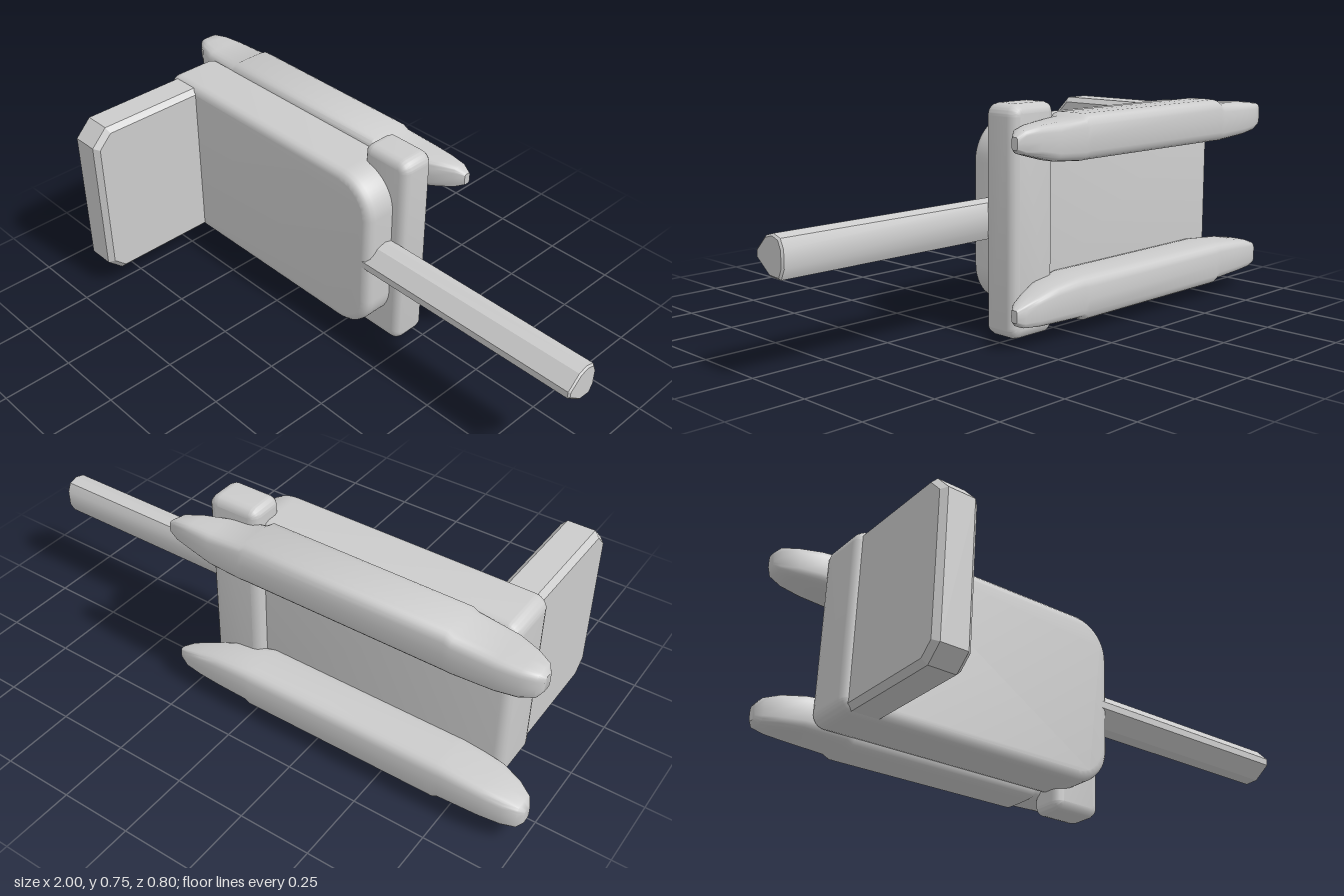
import * as THREE from 'three';
import { toCreasedNormals } from 'three/addons/utils/BufferGeometryUtils.js';

const material = new THREE.MeshStandardMaterial({ color: 0xcccccc });

function addPart(group, name, geometry, crease = 0.6) {
  const mesh = new THREE.Mesh(toCreasedNormals(geometry, crease), material);
  mesh.name = name;
  group.add(mesh);
  return mesh;
}

// Rectangle with its own corner radius on the low and high side of the first axis
function roundedRect(x0, x1, y0, y1, rLow, rHigh) {
  const s = new THREE.Shape();
  s.moveTo(x0 + rLow, y0);
  s.lineTo(x1 - rHigh, y0);
  s.absarc(x1 - rHigh, y0 + rHigh, rHigh, -Math.PI / 2, 0);
  s.lineTo(x1, y1 - rHigh);
  s.absarc(x1 - rHigh, y1 - rHigh, rHigh, 0, Math.PI / 2);
  s.lineTo(x0 + rLow, y1);
  s.absarc(x0 + rLow, y1 - rLow, rLow, Math.PI / 2, Math.PI);
  s.lineTo(x0, y0 + rLow);
  s.absarc(x0 + rLow, y0 + rLow, rLow, Math.PI, Math.PI * 1.5);
  return s;
}

// Extrusion from a to b with a bevel that stays inside the outline
function slab(shape, a, b, bevel, segments = 3) {
  const g = new THREE.ExtrudeGeometry(shape, {
    depth: b - a - 2 * bevel, bevelEnabled: bevel > 0, bevelSize: bevel,
    bevelThickness: bevel, bevelOffset: -bevel, bevelSegments: segments, curveSegments: 8,
  });
  return g.translate(0, 0, a + bevel);
}

// Loft along x through rounded sections: [x, yLow, yHigh, zBack, zFront]
function loft(sections, sides = 24, power = 0.45) {
  const pos = [], index = [];
  const soft = (v) => Math.sign(v) * Math.pow(Math.abs(v), power);
  for (const [x, y0, y1, z0, z1] of sections) {
    for (let i = 0; i < sides; i++) {
      const a = (i / sides) * Math.PI * 2;
      pos.push(x, (y0 + y1) / 2 + soft(Math.cos(a)) * (y1 - y0) / 2,
        (z0 + z1) / 2 + soft(Math.sin(a)) * (z1 - z0) / 2);
    }
  }
  for (let s = 0; s < sections.length - 1; s++) {
    for (let i = 0; i < sides; i++) {
      const a = s * sides + i, b = s * sides + (i + 1) % sides;
      index.push(a, b, a + sides, b, b + sides, a + sides);
    }
  }
  // End caps
  const last = (sections.length - 1) * sides;
  for (let i = 1; i < sides - 1; i++) {
    index.push(0, i + 1, i, last, last + i, last + i + 1);
  }
  const g = new THREE.BufferGeometry();
  g.setAttribute('position', new THREE.Float32BufferAttribute(pos, 3));
  g.setIndex(index);
  return g;
}

export function createModel() {
  const group = new THREE.Group();

  // Deck plate, with wide round corners at the handle end
  addPart(group, 'deck', slab(roundedRect(-0.86, 0.17, 0.07, 0.69, 0.045, 0.14), -0.24, -0.04, 0.03));

  // Upright end panel with clipped corners
  const panel = new THREE.Shape([
    [0.1, 0.075], [0.1, 0.68], [-0.34, 0.68], [-0.4, 0.62], [-0.4, 0.125], [-0.345, 0.075],
  ].map(([u, v]) => new THREE.Vector2(u, v)));
  addPart(group, 'endPanel', slab(panel, -0.84, -0.71, 0.018, 1).rotateY(Math.PI / 2), 0.4);

  // Crossbar standing behind the handle end
  addPart(group, 'crossbar',
    slab(roundedRect(0.03, 0.22, 0, 0.75, 0.03, 0.04), -0.28, -0.15, 0.03));

  // Faceted handle
  const grip = new THREE.Shape([
    [0.04, 0.36], [0.1, 0.315], [0.15, 0.312], [0.166, 0.345],
    [0.166, 0.4], [0.152, 0.43], [0.12, 0.44], [0.085, 0.43], [0.04, 0.385],
  ].map(([u, v]) => new THREE.Vector2(u, v)));
  addPart(group, 'handle', slab(grip, 0.1, 1, 0.006, 1).rotateY(Math.PI / 2), 0.5);

  // Two runners along the back, tapered at both tips
  const profile = [
    // x, inner edge, outer edge (distance from the runner's outer side), zBack, zFront
    [-1.0, 0.095, 0.045, -0.355, -0.315],
    [-0.985, 0.115, 0.03, -0.375, -0.29],
    [-0.94, 0.13, 0.024, -0.39, -0.262],
    [-0.87, 0.14, 0.02, -0.398, -0.235],
    [-0.73, 0.15, 0.012, -0.4, -0.22],
    [-0.71, 0.15, 0, -0.4, -0.22],
    [-0.01, 0.15, 0, -0.4, -0.22],
    [0.01, 0.15, 0.012, -0.4, -0.23],
    [0.13, 0.14, 0.018, -0.398, -0.265],
    [0.21, 0.12, 0.022, -0.392, -0.295],
    [0.27, 0.105, 0.03, -0.385, -0.325],
    [0.3, 0.09, 0.05, -0.375, -0.35],
  ];
  addPart(group, 'upperRunner',
    loft(profile.map(([x, i, o, zb, zf]) => [x, 0.715 - i, 0.715 - o, zb, zf])), 0.7);
  addPart(group, 'lowerRunner',
    loft(profile.map(([x, i, o, zb, zf]) => [x, 0.045 + o, 0.045 + i, zb, zf])), 0.7);

  return group;
}
